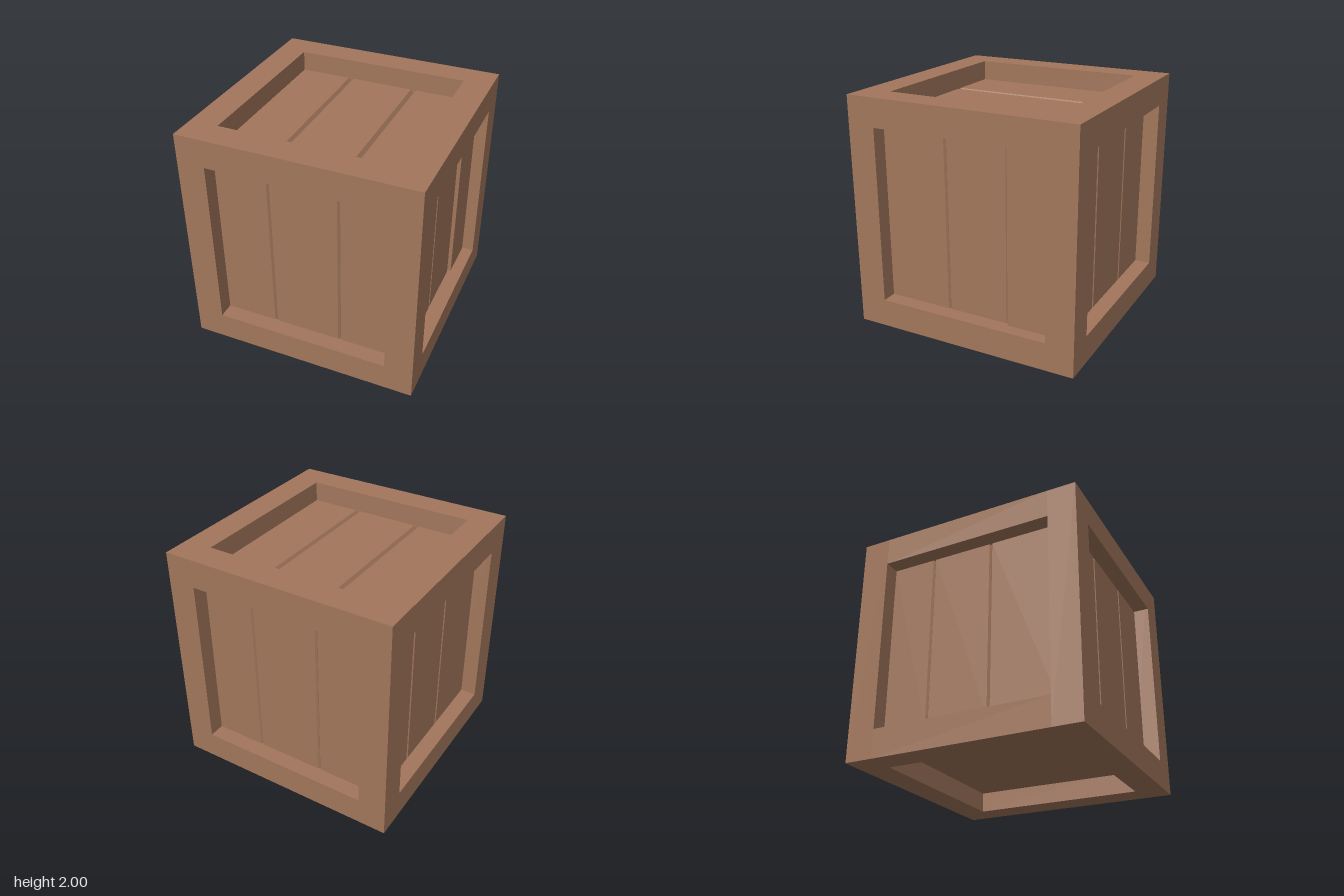
import * as THREE from 'three';

const W = 0.243;          // frame beam thickness
const IN = 1 - W;         // half size of each opening

export function createModel() {
  const crate = new THREE.Group();
  crate.name = 'crate';
  const wood = new THREE.MeshStandardMaterial({ color: 0xa3775c });
  wood.name = 'brown wood';
  wood.flatShading = true;

  const body = new THREE.Group();
  body.name = 'body';
  body.position.y = 1;
  crate.add(body);

  // Frame: four full-height posts with beams fitted between them
  const beam = (name, sx, sy, sz, x, y, z) => {
    const m = new THREE.Mesh(new THREE.BoxGeometry(sx, sy, sz), wood);
    m.name = name;
    m.position.set(x, y, z);
    body.add(m);
  };
  const c = 1 - W / 2;
  for (const a of [-c, c]) {
    for (const b of [-c, c]) {
      beam('cornerPost', W, 2, W, a, 0, b);
      beam('crossBeam', 2 * IN, W, W, 0, a, b);
      beam('sideBeam', W, W, 2 * IN, a, b, 0);
    }
  }

  // Recessed plank panel: V grooves at the given positions, extruded along the planks.
  // depths holds the recess of each plank from the outer face.
  const panel = (name, rx, ry, grooves, depths, half, cut) => {
    const s = new THREE.Shape();
    s.moveTo(-IN, IN - 0.02);
    s.lineTo(IN, IN - 0.02);
    s.lineTo(IN, 1 - depths[grooves.length]);
    for (let i = grooves.length - 1; i >= 0; i--) {
      const right = 1 - depths[i + 1], left = 1 - depths[i];
      s.lineTo(grooves[i] + half, right);
      s.lineTo(grooves[i], Math.min(left, right) - cut);
      s.lineTo(grooves[i] - half, left);
    }
    s.lineTo(-IN, 1 - depths[0]);
    s.closePath();
    const g = new THREE.ExtrudeGeometry(s, { depth: 2 * IN, bevelEnabled: false });
    g.translate(0, 0, -IN);
    const m = new THREE.Mesh(g, wood);
    m.name = name;
    m.rotation.set(rx, ry, 0, 'YXZ');
    body.add(m);
  };
  const q = Math.PI / 2;
  const side = [0.137, 0.137, 0.137];
  panel('topPanel', 0, 0, [-0.287, 0.308], [0.175, 0.175, 0.175], 0.022, 0.035);
  panel('bottomPanel', Math.PI, 0, [], [0.175], 0, 0);
  panel('frontPanel', q, 0, [-0.292, 0.303], side, 0.013, 0.015);
  panel('backPanel', -q, 0, [-0.292, 0.303], side, 0.013, 0.015);
  panel('leftPanel', q, q, [-0.182, 0.362], [0.132, 0.132, 0.105], 0.013, 0.015);
  panel('rightPanel', q, -q, [-0.362, 0.182], side, 0.013, 0.015);

  return crate;
}
